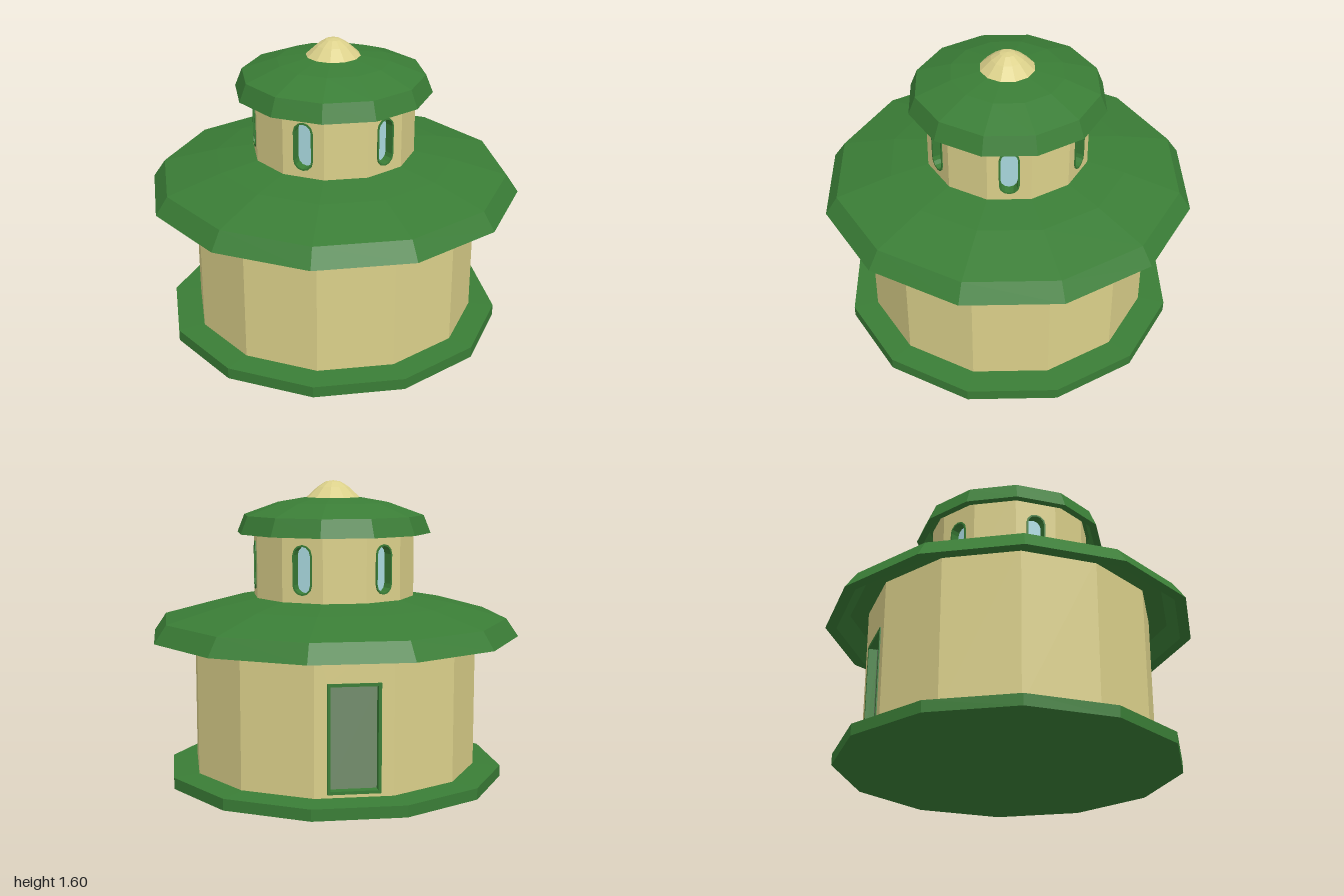
import * as THREE from 'three';

const SIDES = 12;
const STEP = (2 * Math.PI) / SIDES;
const paint = (color) => new THREE.MeshStandardMaterial({ color, flatShading: true });

const green = paint(0x3a7d36);
const tan = paint(0xdbd08a);
const glass = paint(0xa9d8de);
const doorPaint = paint(0x738d6c);

function part(name, geometry, material, parent) {
  const mesh = new THREE.Mesh(geometry, material);
  mesh.name = name;
  parent.add(mesh);
  return mesh;
}

// Twelve-sided turned part from a list of [radius, height], bottom to top
function turned(name, profile, material, parent) {
  const points = profile.map(([r, y]) => new THREE.Vector2(r, y));
  return part(name, new THREE.LatheGeometry(points, SIDES), material, parent);
}

// Rectangle centred on x
function rectangle(w, y0, y1) {
  return new THREE.Shape([
    new THREE.Vector2(-w / 2, y0), new THREE.Vector2(w / 2, y0),
    new THREE.Vector2(w / 2, y1), new THREE.Vector2(-w / 2, y1),
  ]);
}

// Upright slot with rounded ends
function slot(w, y0, y1) {
  const r = w / 2, points = [], n = 6;
  for (const [cy, start] of [[y0 + r, Math.PI], [y1 - r, 0]]) {
    for (let i = 0; i <= n; i++) {
      const a = start + (Math.PI * i) / n;
      points.push(new THREE.Vector2(r * Math.cos(a), cy + r * Math.sin(a)));
    }
  }
  return new THREE.Shape(points);
}

// Ring of flat wall panels; openingAt(i) returns an opening or nothing
function walls(name, radius, y0, y1, openingAt, parent) {
  const ring = new THREE.Group();
  ring.name = name;
  parent.add(ring);
  const apothem = radius * Math.cos(STEP / 2);
  for (let i = 0; i < SIDES; i++) {
    const facet = new THREE.Group();
    facet.name = 'wallFacet';
    facet.rotation.y = (i + 0.5) * STEP;
    ring.add(facet);

    const panel = rectangle(2 * radius * Math.sin(STEP / 2), y0, y1);
    const opening = openingAt(i);
    if (opening) {
      const { label, shape, w, b, t, rim, inset, fill } = opening;
      panel.holes.push(shape(w, b, t));
      // frame lining the depth of the opening
      const frame = shape(w, b, t);
      frame.holes.push(shape(w - 2 * rim, b + rim, t - rim));
      const lining = new THREE.ExtrudeGeometry(frame, { depth: inset + 0.012, bevelEnabled: false });
      part(label + 'Frame', lining, green, facet).position.z = apothem - inset - 0.006;
      // recessed pane
      part(label + 'Pane', new THREE.ShapeGeometry(shape(w - rim, b + rim / 2, t - rim / 2)), fill, facet)
        .position.z = apothem - inset;
    }
    part('wallPanel', new THREE.ShapeGeometry(panel), tan, facet).position.z = apothem;
  }
}

export function createModel() {
  const model = new THREE.Group();
  model.name = 'roundPavilion';

  // Plinth
  turned('plinth', [[0, 0], [0.912, 0], [0.912, 0.06], [0.77, 0.068], [0, 0.068]], green, model)
    .position.set(-0.005, 0, -0.005);

  // Main storey with one door at the back
  const door = {
    label: 'door', shape: rectangle, w: 0.27, b: 0.085, t: 0.64,
    rim: 0.016, inset: 0.04, fill: doorPaint,
  };
  walls('mainWalls', 0.77, 0.06, 0.89, (i) => (i === 6 ? door : null), model);

  // Wide lower roof with a hollow eave
  turned('lowerRoof', [
    [0.74, 0.87], [0.87, 0.85], [0.94, 0.775], [1, 0.775],
    [0.935, 0.87], [0.64, 0.95], [0.42, 0.99], [0.36, 0.995],
  ], green, model);

  // Lantern storey with a window on every other facet
  const window = {
    label: 'window', shape: slot, w: 0.106, b: 1.025, t: 1.285,
    rim: 0.009, inset: 0.045, fill: glass,
  };
  walls('lanternWalls', 0.435, 0.97, 1.43, (i) => (i % 2 === 1 ? window : null), model);

  // Small upper roof
  turned('upperRoof', [
    [0.41, 1.4], [0.455, 1.39], [0.485, 1.325], [0.525, 1.325],
    [0.487, 1.42], [0.3, 1.487], [0.15, 1.513], [0, 1.515],
  ], green, model);

  // Finial cap
  turned('finial', [[0.148, 1.51], [0.085, 1.568], [0.04, 1.597], [0, 1.603]], tan, model);

  return model;
}
